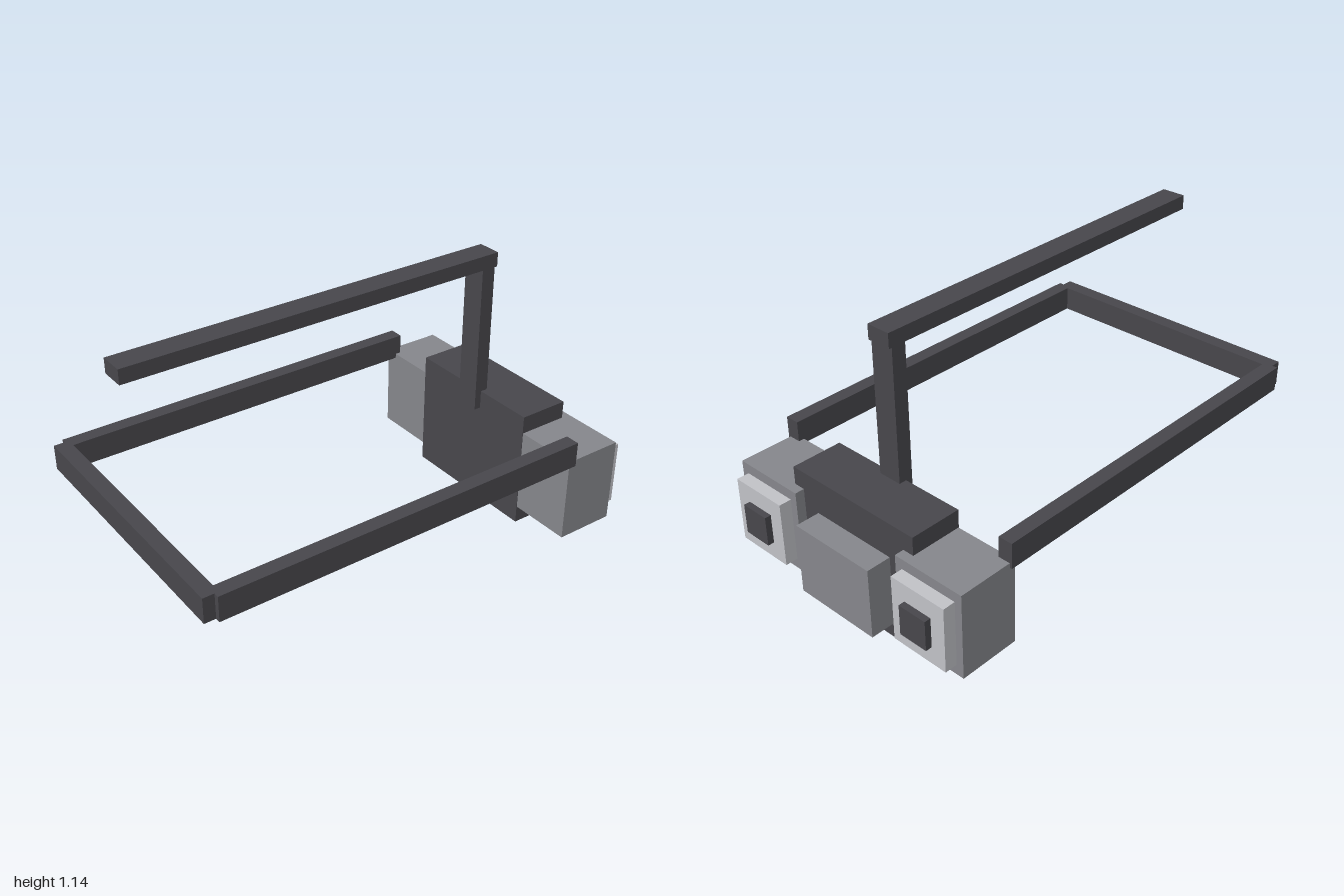
import * as THREE from 'three';

const dark = new THREE.MeshStandardMaterial({ color: 0x47464b });
dark.name = 'charcoal';
const grey = new THREE.MeshStandardMaterial({ color: 0x85868b });
grey.name = 'midGrey';
const light = new THREE.MeshStandardMaterial({ color: 0xc0c1c6 });
light.name = 'lightGrey';

// Box given by its [min, max] extent along each axis
function block(name, material, [x0, x1], [y0, y1], [z0, z1]) {
  const mesh = new THREE.Mesh(new THREE.BoxGeometry(x1 - x0, y1 - y0, z1 - z0), material);
  mesh.position.set((x0 + x1) / 2, (y0 + y1) / 2, (z0 + z1) / 2);
  mesh.name = name;
  return mesh;
}

// Same box on the left (+x) or mirrored to the right (-x)
function sideBlock(name, material, side, [x0, x1], y, z) {
  return block(name, material, side > 0 ? [x0, x1] : [-x1, -x0], y, z);
}

export function createModel() {
  const model = new THREE.Group();
  model.name = 'headset';

  // Central housing with its rear panel
  model.add(
    block('housing', dark, [-0.32, 0.32], [0, 0.52], [-0.88, -0.658]),
    block('rearPanel', grey, [-0.195, 0.195], [0.067, 0.37], [-0.985, -0.87])
  );

  // Side pods, each with a lens plate and sensor, and the side straps
  for (const side of [1, -1]) {
    const prefix = side > 0 ? 'left' : 'right';
    model.add(
      sideBlock(prefix + 'Pod', grey, side, [0.27, 0.592], [0.077, 0.443], [-0.92, -0.66]),
      sideBlock(prefix + 'LensPlate', light, side, [0.303, 0.56], [0.122, 0.4], [-0.973, -0.91]),
      sideBlock(prefix + 'Sensor', dark, side, [0.367, 0.495], [0.197, 0.325], [-1, -0.96]),
      sideBlock(prefix + 'Strap', dark, side, [0.54, 0.602], [0.423, 0.53], [-0.685, 0.953])
    );
  }

  // Bar joining the straps, and the overhead strap on its post
  model.add(
    block('strapCrossbar', dark, [-0.58, 0.58], [0.423, 0.53], [0.935, 1]),
    block('post', dark, [-0.052, 0.052], [0.44, 1.085], [-0.69, -0.628]),
    block('overheadStrap', dark, [-0.052, 0.052], [1.082, 1.143], [-0.703, 0.977])
  );

  return model;
}
